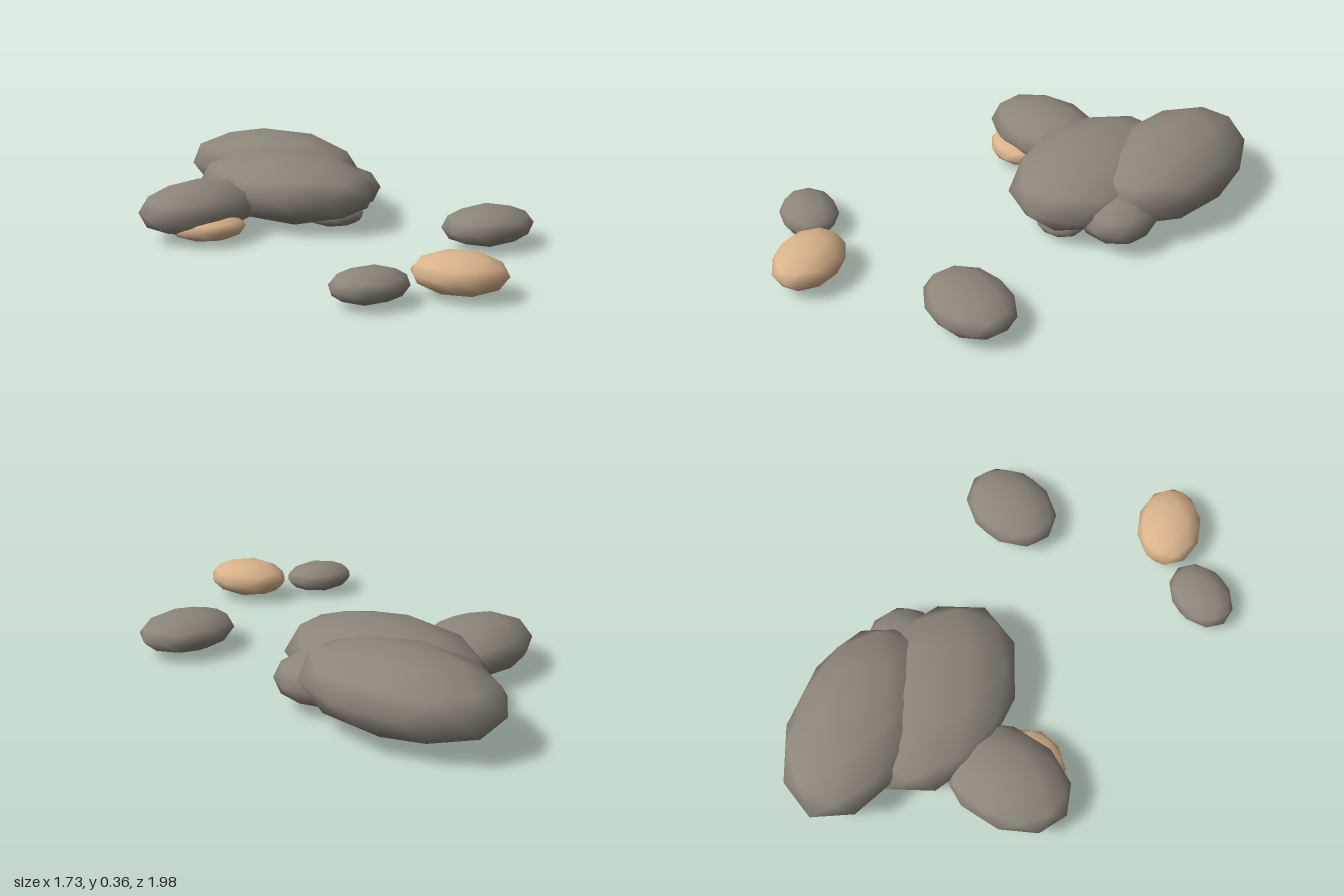
import * as THREE from 'three';

export function createModel() {
  const model = new THREE.Group();
  model.name = 'stoneCluster';

  const grey = new THREE.MeshStandardMaterial({ color: 0x8c857a });
  grey.name = 'grey stone';
  const tan = new THREE.MeshStandardMaterial({ color: 0xd9b38c });
  tan.name = 'tan stone';

  // Low-poly smooth pebble with a vertex at the top and a ten-sided equator
  const pebble = new THREE.IcosahedronGeometry(1, 1);
  pebble.rotateZ(Math.PI / 2 - Math.atan((1 + Math.sqrt(5)) / 2));
  pebble.rotateY(Math.PI / 2);

  // name, material, centre, radii (long, height, short), heading from +x towards +z in degrees
  const stones = [
    // overlapping pile
    ['largeBackStone', grey, [-0.375, 0.187, -0.675], [0.46, 0.174, 0.285], 25],
    ['largeMiddleStone', grey, [-0.267, 0.163, -0.34], [0.46, 0.162, 0.325], 28],
    ['sideStone', grey, [-0.05, 0.125, -0.48], [0.215, 0.112, 0.185], -10],
    ['lowStone', grey, [-0.03, 0.057, -0.24], [0.135, 0.052, 0.12], -20],
    ['frontPileStone', grey, [-0.625, 0.126, -0.045], [0.305, 0.118, 0.217], -56],
    ['tuckedTanStone', tan, [-0.565, 0.067, 0.065], [0.17, 0.06, 0.145], -15],
    // loose stones
    ['looseSideStone', grey, [0.665, 0.092, 0.005], [0.228, 0.084, 0.178], -48],
    ['looseTanStone', tan, [0.547, 0.095, 0.73], [0.194, 0.085, 0.147], 10],
    ['looseSmallStone', grey, [0.21, 0.076, 0.855], [0.167, 0.068, 0.13], -34],
  ];

  for (const [name, material, centre, radii, heading] of stones) {
    const stone = new THREE.Mesh(pebble, material);
    stone.name = name;
    stone.position.set(...centre);
    stone.scale.set(...radii);
    stone.rotation.y = -THREE.MathUtils.degToRad(heading);
    model.add(stone);
  }
  return model;
}
